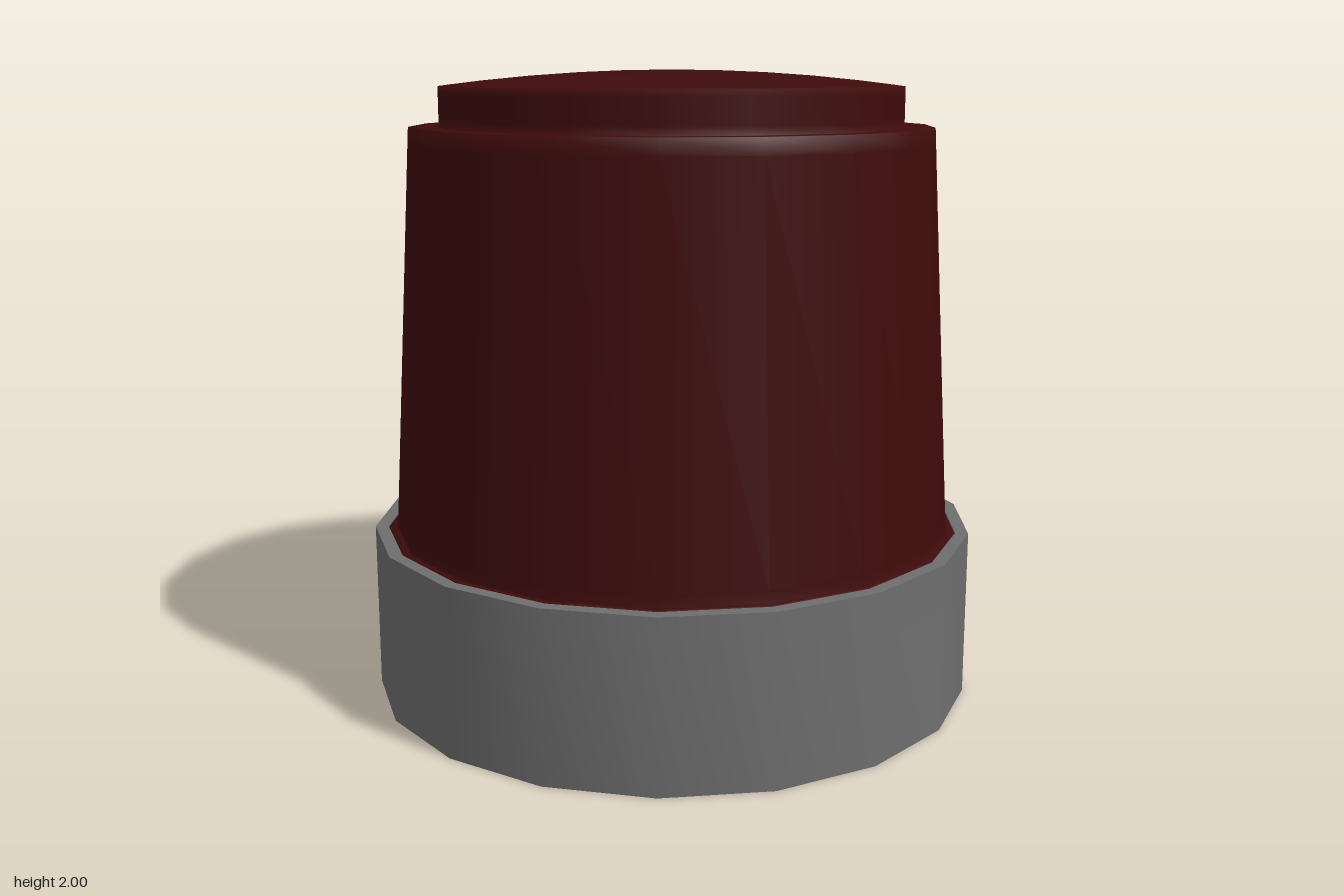
import * as THREE from 'three';
import { toCreasedNormals } from 'three/addons/utils/BufferGeometryUtils.js';

// Turned shape from [radius, height] pairs, with a corner on the +x axis
function turned(profile) {
  const points = profile.map(([r, y]) => new THREE.Vector2(r, y));
  return new THREE.LatheGeometry(points, 18, Math.PI / 2);
}

function addPart(group, name, geometry, color) {
  const mesh = new THREE.Mesh(geometry, new THREE.MeshStandardMaterial({ color }));
  mesh.name = name;
  group.add(mesh);
}

export function createModel() {
  const group = new THREE.Group();
  group.name = 'beaconLight';

  // Base cup with a flat floor and a narrow sharp rim
  const base = turned([
    [0, 0], [0.977, 0], [0.977, 0.535], [0.935, 0.535], [0.935, 0.5],
  ]);
  addPart(group, 'base', toCreasedNormals(base, Math.PI / 4.5), 0x6e6e6e);

  // Tapered lens: seating flange, body, shoulder and cap wall, softly shaded at the edges
  const lens = [
    [0.935, 0.5], [0.935, 0.53], [0.91, 0.53], [0.905, 0.535], [0.903, 0.57],
    [0.833, 1.775], [0.83, 1.825], [0.8, 1.825], [0.76, 1.825], [0.735, 1.825],
    [0.735, 1.85], [0.735, 1.93], [0.735, 1.95],
  ];
  // Shallow domed top
  for (const r of [0.7, 0.6, 0.45, 0.3, 0.15, 0]) {
    lens.push([r, 1.95 + 0.05 * (1 - (r / 0.735) ** 2)]);
  }
  addPart(group, 'lens', turned(lens), 0x3f0b0b);

  return group;
}
